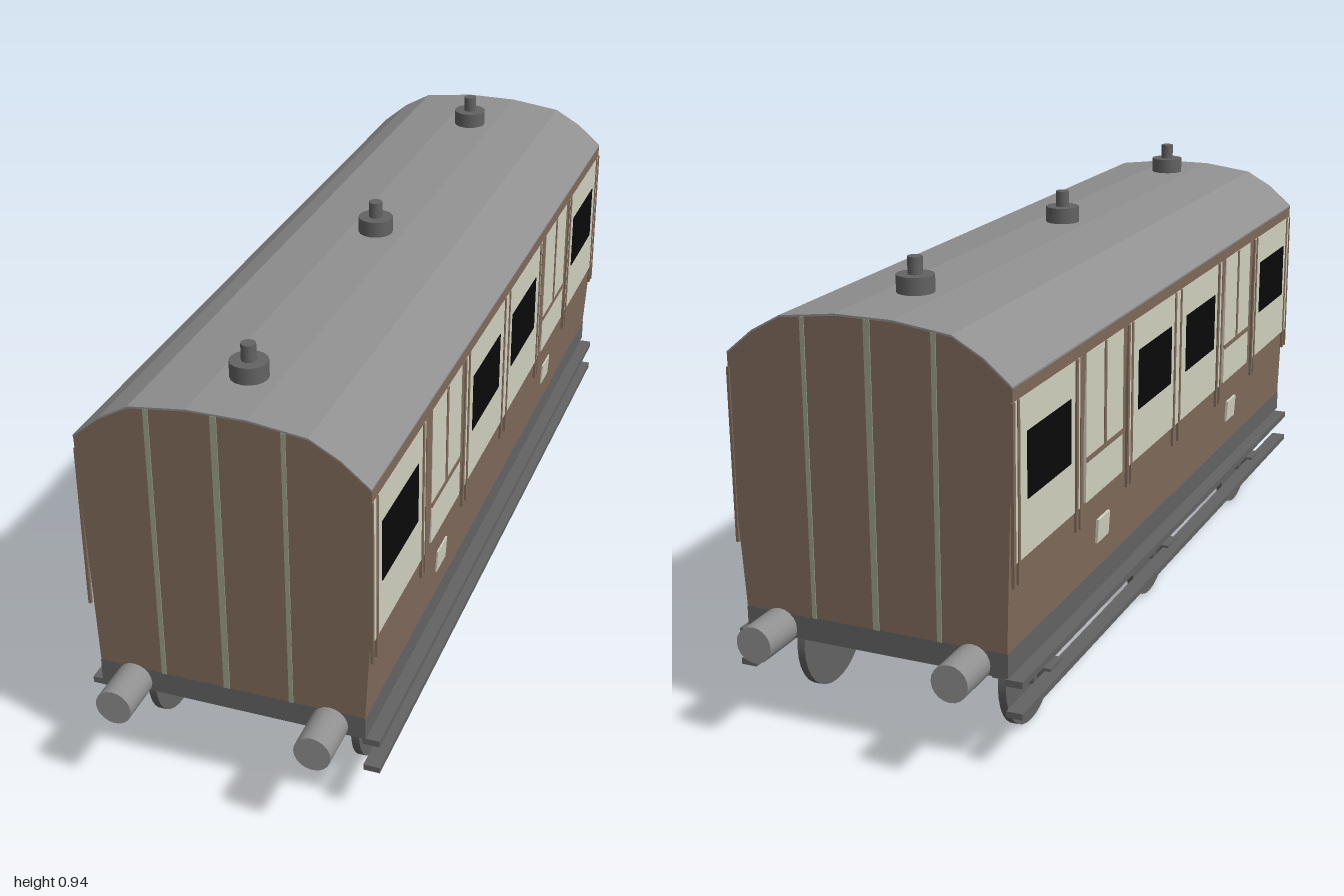
import * as THREE from 'three';

const material = (name, color) => {
  const m = new THREE.MeshStandardMaterial({ color });
  m.name = name;
  return m;
};

export function createModel() {
  const brown = material('brown paint', 0x806b5b);
  const cream = material('cream paint', 0xd0d0bf);
  const sage = material('sage trim', 0x98a08a);
  const black = material('window black', 0x0a0a0a);
  const roofGrey = material('roof grey', 0x909090);
  const iron = material('chassis grey', 0x636363);

  const model = new THREE.Group();
  model.name = 'railwayCarriage';

  const add = (name, geometry, mat, parent = model) => {
    const mesh = new THREE.Mesh(geometry, mat);
    mesh.name = name;
    parent.add(mesh);
    return mesh;
  };
  // Box given by its limits on each axis
  const box = (name, mat, parent, x0, x1, y0, y1, z0, z1) => {
    const g = new THREE.BoxGeometry(Math.abs(x1 - x0), Math.abs(y1 - y0), Math.abs(z1 - z0));
    g.translate((x0 + x1) / 2, (y0 + y1) / 2, (z0 + z1) / 2);
    return add(name, g, mat, parent);
  };
  const extrude = (points, z0, z1) => {
    const shape = new THREE.Shape(points.map(([x, y]) => new THREE.Vector2(x, y)));
    return new THREE.ExtrudeGeometry(shape, { depth: z1 - z0, bevelEnabled: false }).translate(0, 0, z0);
  };
  const flip = (points) => points.map(([x, y]) => [-x, y]).reverse();

  // Body shell and arched roof
  const END = 0.903;
  const arch = [[0.297, 0.772], [0.24, 0.82], [0.178, 0.855], [0.06, 0.87]];
  const archFull = [...arch, ...flip(arch)];
  const drop = (dy) => archFull.map(([x, y]) => [x, y - dy]);
  add('body', extrude([[-0.282, 0.25], [0.282, 0.25], [0.296, 0.48], ...drop(0.003)], -END, END), brown);
  add('roof', extrude([...archFull, ...drop(0.004).reverse()], -END - 0.001, END + 0.001), roofGrey);

  // Underframe
  box('underframe', iron, model, -0.283, 0.283, 0.2, 0.25, -END, END);

  // Vertical trim on both ends
  for (const end of [1, -1]) {
    for (const [x0, x1, top] of [[-0.147, -0.137, 0.856], [-0.013, 0, 0.866], [0.125, 0.134, 0.857]]) {
      box('endTrim', sage, model, x0, x1, 0.25, top, end * (END - 0.002), end * (END + 0.002));
    }
  }

  // Roof ventilators
  for (const z of [0.748, 0.033, -0.695]) {
    const vent = new THREE.Group();
    vent.name = 'roofVent';
    vent.position.set(0, 0, z);
    model.add(vent);
    add('ventBase', new THREE.CylinderGeometry(0.038, 0.038, 0.04, 16).translate(0, 0.885, 0), iron, vent);
    add('ventCap', new THREE.CylinderGeometry(0.015, 0.015, 0.036, 12).translate(0, 0.922, 0), iron, vent);
  }

  // Buffers at both ends
  for (const end of [1, -1]) {
    for (const x of [-0.209, 0.209]) {
      const g = new THREE.CylinderGeometry(0.038, 0.038, 0.11, 20).rotateX(Math.PI / 2);
      add('buffer', g, roofGrey).position.set(x, 0.22, end * 0.945);
    }
  }

  // Panel layout along each side, as z limits
  const windowPanels = [[0.607, 0.87], [0.019, 0.281], [-0.291, -0.03], [-0.874, -0.612]];
  const windows = [[0.634, 0.848], [0.051, 0.259], [-0.259, -0.051], [-0.842, -0.634]];
  const doors = [[0.345, 0.543], [-0.553, -0.35]];
  const strips = [[0.88, 0.896], [0.586, 0.596], [0.297, 0.313], [-0.019, 0.008],
    [-0.313, -0.302], [-0.596, -0.586], [-0.896, -0.885]];
  const plates = [[0.409, 0.473], [-0.468, -0.404]];
  const LOW = 0.43, HIGH = 0.742;

  for (const s of [1, -1]) {
    const side = new THREE.Group();
    side.name = s > 0 ? 'leftSide' : 'rightSide';
    model.add(side);
    const plate = (name, mat, out, y0, y1, z0, z1) =>
      box(name, mat, side, s * (out - 0.006), s * out, y0, y1, z0, z1);

    for (const [a, b] of windowPanels) plate('windowPanel', cream, 0.2975, LOW, HIGH, a, b);
    for (const [a, b] of windows) plate('window', black, 0.299, 0.54, 0.672, a, b);
    for (const [a, b] of doors) {
      plate('doorPanel', cream, 0.2975, LOW, HIGH, a, b);
      const mid = (a + b) / 2;
      plate('doorRail', brown, 0.299, 0.515, 0.526, a, b);
      plate('doorMullion', brown, 0.299, 0.526, HIGH, mid - 0.006, mid + 0.006);
    }
    for (const [a, b] of strips) {
      plate('panelStrip', cream, 0.2975, LOW, HIGH, a, b);
      // Raised battens beside each strip, hanging just below the panels
      plate('batten', brown, 0.299, 0.385, HIGH, a - 0.01, a);
      plate('batten', brown, 0.299, 0.385, HIGH, b, Math.min(b + 0.01, END));
    }
    for (const [a, b] of plates) {
      const p = plate('sidePlate', cream, 0.003, -0.026, 0.026, a, b);
      p.position.set(s * 0.2875, 0.336, 0);
      p.rotation.z = -s * 0.061;
    }

    // Running boards
    box('upperFootboard', iron, side, s * 0.273, s * 0.309, 0.18, 0.194, -0.895, 0.895);
    box('lowerFootboard', iron, side, s * 0.275, s * 0.309, 0.115, 0.128, -0.895, 0.895);

    // Wheels with stepped leaf springs and axle boxes
    for (const z of [0.682, 0.013, -0.682]) {
      const gear = new THREE.Group();
      gear.name = 'wheelAssembly';
      gear.position.z = z;
      side.add(gear);
      const wheel = new THREE.CylinderGeometry(0.124, 0.124, 0.017, 32).rotateZ(Math.PI / 2);
      add('wheel', wheel, iron, gear).position.set(s * 0.225, 0.125, 0);
      const layers = [[0.19, 0.18, 0.2], [0.135, 0.157, 0.18], [0.1, 0.14, 0.157]];
      for (const [half, y0, y1] of layers) {
        box('springLeaf', iron, gear, s * 0.235, s * 0.262, y0, y1, -half, half);
      }
      box('axleGuard', iron, gear, s * 0.232, s * 0.258, 0.102, 0.2, -0.045, 0.045);
      box('axleBox', iron, gear, s * 0.25, s * 0.288, 0.102, 0.134, -0.03, 0.03);
    }
  }
  return model;
}
